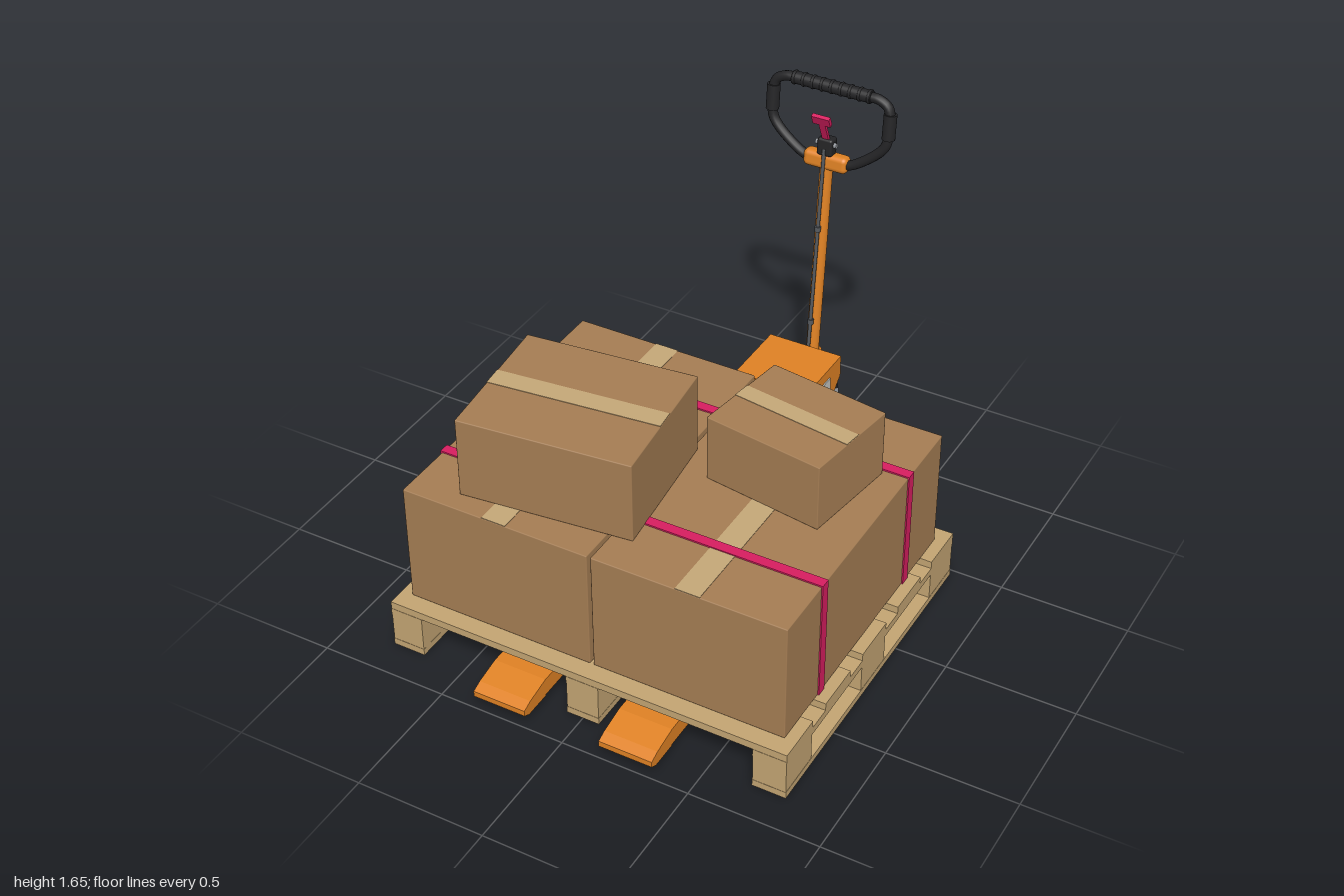
import * as THREE from 'three';
import { RoundedBoxGeometry } from 'three/addons/geometries/RoundedBoxGeometry.js';

const material = (name, color) => {
  const m = new THREE.MeshStandardMaterial({ color });
  m.name = name;
  return m;
};

export function createModel() {
  const orange = material('orange paint', 0xe08224);
  const black = material('black rubber', 0x242426);
  const steel = material('steel', 0x92969c);
  const darkSteel = material('dark steel', 0x55585c);
  const wood = material('pallet wood', 0xc4a573);
  const card = material('cardboard', 0xa67e54);
  const tape = material('packing tape', 0xc6a878);
  const pink = material('pink strap', 0xd81e60);
  const pale = material('label', 0xc8c8c4);

  const model = new THREE.Group();
  model.name = 'loadedPalletTruck';
  const group = (name, parent = model) => {
    const g = new THREE.Group();
    g.name = name;
    parent.add(g);
    return g;
  };
  const add = (parent, name, geo, mat, x = 0, y = 0, z = 0) => {
    const m = new THREE.Mesh(geo, mat);
    m.name = name;
    m.position.set(x, y, z);
    parent.add(m);
    return m;
  };
  // Box given by its min and max on each axis
  const span = (p, name, mat, x0, x1, y0, y1, z0, z1) =>
    add(p, name, new THREE.BoxGeometry(x1 - x0, y1 - y0, z1 - z0), mat, (x0 + x1) / 2, (y0 + y1) / 2, (z0 + z1) / 2);
  // Side profile of [z, y] points, extruded from x0 to x1
  const profile = (p, name, mat, pts, x0, x1) => {
    const shape = new THREE.Shape(pts.map(([z, y]) => new THREE.Vector2(z, y)));
    const geo = new THREE.ExtrudeGeometry(shape, { depth: x1 - x0, bevelEnabled: false });
    geo.rotateY(-Math.PI / 2);
    return add(p, name, geo, mat, x1, 0, 0);
  };
  const cyl = (p, name, mat, r, h, x, y, z, axis = 'y', seg = 24, r2 = r) => {
    const geo = new THREE.CylinderGeometry(r, r2, h, seg);
    if (axis === 'x') geo.rotateZ(Math.PI / 2);
    if (axis === 'z') geo.rotateX(Math.PI / 2);
    return add(p, name, geo, mat, x, y, z);
  };
  // Round bar through a few points
  const tube = (p, name, mat, pts, r, seg = 8) =>
    add(p, name, new THREE.TubeGeometry(
      new THREE.CatmullRomCurve3(pts.map(a => new THREE.Vector3(...a))), seg, r, 12), mat);

  // Pallet
  const pallet = group('pallet');
  for (let i = 0; i < 5; i++) {
    const z = -0.475 + i * 0.286;
    span(pallet, 'deckBoard', wood, -0.8, 0.8, 0.168, 0.198, z, z + 0.19);
  }
  for (const x of [-0.735, 0, 0.735]) {
    span(pallet, 'stringerBoard', wood, x - 0.065, x + 0.065, 0.138, 0.168, -0.475, 0.86);
    span(pallet, 'bottomBoard', wood, x - 0.065, x + 0.065, 0, 0.027, -0.475, 0.86);
    for (const z of [-0.38, 0.193, 0.765])
      span(pallet, 'block', wood, x - 0.064, x + 0.064, 0.027, 0.138, z - 0.094, z + 0.094);
  }

  // Cartons with tape across the top
  const cargo = group('cargo');
  const carton = (name, w, h, d, x, y, z, turn, tapeW, tapeD) => {
    const g = group(name, cargo);
    g.position.set(x, y, z);
    g.rotation.y = turn;
    add(g, 'carton', new RoundedBoxGeometry(w, h, d, 1, 0.004), card, 0, h / 2, 0);
    add(g, 'topTape', new THREE.BoxGeometry(tapeW, 0.003, tapeD), tape, 0, h + 0.0005, 0);
  };
  for (const s of [-1, 1])
    carton('largeCarton', 0.748, 0.482, 1.2, s * 0.381, 0.198, 0.19, 0, 0.095, 1.198);
  carton('upperLeftCarton', 0.66, 0.32, 0.56, -0.268, 0.68, 0.402, 0.107, 0.658, 0.08);
  carton('upperRightCarton', 0.475, 0.265, 0.397, 0.4, 0.68, 0.056, -0.146, 0.473, 0.07);
  for (const z of [0.527, -0.141])
    span(cargo, 'strap', pink, -0.76, 0.76, 0.199, 0.686, z - 0.02, z + 0.02);

  // Forks: open channels with solid tips, load rollers and push rods
  for (const s of [-1, 1]) {
    const fork = group('fork');
    fork.position.x = s * 0.255;
    span(fork, 'forkTop', orange, -0.105, 0.105, 0.103, 0.115, -0.53, 0.86);
    for (const e of [-1, 1]) {
      span(fork, 'forkWall', orange, e * 0.099 - 0.006, e * 0.099 + 0.006, 0.045, 0.104, -0.53, 0.86);
      span(fork, 'rollerFrame', steel, e * 0.066 - 0.008, e * 0.066 + 0.008, 0.032, 0.058, 0.42, 0.85);
    }
    profile(fork, 'forkTip', orange,
      [[0.86, 0.04], [0.97, 0.04], [1, 0.055], [1, 0.078], [0.96, 0.094], [0.86, 0.115]], -0.105, 0.105);
    cyl(fork, 'entryRoller', steel, 0.014, 0.07, 0, 0.038, 0.948, 'x', 16);
    cyl(fork, 'loadRoller', steel, 0.041, 0.09, 0, 0.045, 0.76, 'x');
    cyl(fork, 'rollerAxle', steel, 0.014, 0.16, 0, 0.048, 0.76, 'x', 12);
    span(fork, 'frameBar', steel, -0.07, 0.07, 0.035, 0.055, 0.42, 0.44);
    cyl(fork, 'pushRod', steel, 0.011, 0.94, 0, 0.066, -0.04, 'z', 12);
    span(fork, 'rodGuide', darkSteel, -0.093, 0.093, 0.06, 0.075, 0.3, 0.32);
    span(fork, 'forkHeel', orange, -0.105, 0.105, 0.1, 0.172, -0.535, -0.478);
  }

  // Chassis: back plate, side flanges and hood
  const chassis = group('chassis');
  const plate = new THREE.Shape([[-0.36, 0.1], [0.36, 0.1], [0.36, 0.21], [0.15, 0.5], [0.15, 0.57],
    [-0.15, 0.57], [-0.15, 0.5], [-0.36, 0.21]].map(a => new THREE.Vector2(...a)));
  add(chassis, 'backPlate', new THREE.ExtrudeGeometry(plate, { depth: 0.02, bevelEnabled: false }), orange, 0, 0, -0.545);
  for (const s of [-1, 1]) {
    const x = s * 0.354;
    profile(chassis, 'sideFlange', orange,
      [[-0.475, 0.04], [-0.475, 0.15], [-0.525, 0.19], [-0.55, 0.235], [-0.61, 0.215], [-0.61, 0.085], [-0.55, 0.04]],
      x - 0.007, x + 0.007);
    profile(chassis, 'hoodSide', orange,
      [[-0.525, 0.57], [-0.525, 0.23], [-0.555, 0.23], [-0.81, 0.48], [-0.81, 0.57]],
      s * 0.146 - 0.006, s * 0.146 + 0.006);
    span(chassis, 'sideLabel', s > 0 ? pale : pink, s * 0.154 - 0.003, s * 0.154 + 0.003,
      s > 0 ? 0.46 : 0.5, 0.53, s > 0 ? -0.72 : -0.75, -0.6);
  }
  span(chassis, 'hoodTop', orange, -0.152, 0.152, 0.56, 0.573, -0.815, -0.525);
  span(chassis, 'hoodLip', orange, -0.152, 0.152, 0.48, 0.573, -0.815, -0.803);
  cyl(chassis, 'torsionShaft', steel, 0.024, 0.32, 0, 0.076, -0.5, 'x');

  // Hydraulic pump and steering head
  const pump = group('pump');
  cyl(pump, 'pumpBody', black, 0.075, 0.14, 0, 0.32, -0.71);
  cyl(pump, 'ram', steel, 0.03, 0.18, 0, 0.47, -0.71);
  add(pump, 'pumpBase', new RoundedBoxGeometry(0.15, 0.08, 0.26, 2, 0.015), black, 0, 0.305, -0.84);
  add(pump, 'frontHousing', new RoundedBoxGeometry(0.14, 0.1, 0.14, 2, 0.015), black, 0, 0.325, -0.69);
  cyl(pump, 'turntable', black, 0.08, 0.03, 0, 0.25, -0.715);
  cyl(pump, 'steeringColumn', darkSteel, 0.035, 0.14, 0, 0.18, -0.715);
  for (const s of [-1, 1]) {
    profile(pump, 'pivotBracket', black,
      [[-0.8, 0.32], [-0.825, 0.41], [-0.85, 0.435], [-0.88, 0.435], [-0.9, 0.4], [-0.92, 0.32]],
      s * 0.06 - 0.014, s * 0.06 + 0.014);
    tube(pump, 'linkArm', steel, [[s * 0.085, 0.28, -0.79], [s * 0.085, 0.33, -0.82], [s * 0.085, 0.38, -0.87]], 0.012);
  }
  cyl(pump, 'pivotPin', steel, 0.018, 0.18, 0, 0.4, -0.866, 'x', 16);
  cyl(pump, 'plunger', steel, 0.017, 0.12, 0, 0.38, -0.93, 'y', 16);
  for (let i = 0; i < 4; i++) {
    const coil = add(pump, 'springCoil', new THREE.TorusGeometry(0.023, 0.005, 6, 16), steel, 0, 0.355 + i * 0.022, -0.93);
    coil.rotation.x = Math.PI / 2;
  }
  cyl(pump, 'plungerCap', steel, 0.026, 0.012, 0, 0.442, -0.93, 'y', 16);
  tube(pump, 'releasePedal', steel, [[0.06, 0.31, -0.9], [0.11, 0.33, -0.87], [0.11, 0.38, -0.87]], 0.009);

  // Steering wheels
  const wheels = group('steeringWheels');
  const treadProfile = [[0.07, -0.033], [0.1, -0.035], [0.114, -0.026], [0.119, -0.01], [0.119, 0.01],
    [0.114, 0.026], [0.1, 0.035], [0.07, 0.033]].map(a => new THREE.Vector2(...a));
  for (const s of [-1, 1]) {
    const wheel = group('wheel', wheels);
    wheel.position.set(s * 0.106, 0.121, -0.716);
    const tyre = add(wheel, 'tyre', new THREE.LatheGeometry(treadProfile, 36), black);
    tyre.rotation.z = Math.PI / 2;
    cyl(wheel, 'rim', steel, 0.072, 0.056, 0, 0, 0, 'x', 32);
    cyl(wheel, 'hub', steel, 0.03, 0.076, 0, 0, 0, 'x');
    for (let i = 0; i < 6; i++) {
      const a = i * Math.PI / 3;
      cyl(wheel, 'rimHole', black, 0.012, 0.058, 0, 0.051 * Math.cos(a), 0.051 * Math.sin(a), 'x', 12);
    }
  }
  cyl(wheels, 'axle', steel, 0.018, 0.33, 0, 0.121, -0.716, 'x', 16);

  // Tiller, built upright and then leaned back
  const tiller = group('tiller');
  tiller.position.set(0, 0.42, -0.866);
  tiller.rotation.x = -0.088;
  cyl(tiller, 'tillerSocket', orange, 0.036, 0.14, 0, 0.03, 0, 'y', 24, 0.042);
  cyl(tiller, 'tillerShaft', orange, 0.025, 0.9, 0, 0.45, 0);
  add(tiller, 'crosshead', new RoundedBoxGeometry(0.18, 0.066, 0.056, 3, 0.02), orange, 0, 0.912, 0);
  const half = [[0.075, 0.908], [0.115, 0.925], [0.2, 0.99], [0.23, 1.03], [0.238, 1.07],
    [0.238, 1.15], [0.225, 1.185], [0.19, 1.204], [0.15, 1.207]];
  const loop = [...half, ...half.map(([x, y]) => [-x, y]).reverse()].map(([x, y]) => [x, y, 0]);
  tube(tiller, 'handleLoop', black, loop, 0.019, 96);
  cyl(tiller, 'topGrip', black, 0.024, 0.32, 0, 1.207, 0, 'x');
  for (let i = 0; i < 9; i++) {
    const ring = add(tiller, 'gripRib', new THREE.TorusGeometry(0.022, 0.006, 8, 20), black, -0.152 + i * 0.038, 1.207, 0);
    ring.rotation.y = Math.PI / 2;
  }
  for (const s of [-1, 1]) cyl(tiller, 'sideGrip', black, 0.025, 0.1, s * 0.238, 1.11, 0);

  // Release lever with its control rod
  add(tiller, 'leverMount', new RoundedBoxGeometry(0.062, 0.07, 0.05, 2, 0.01), black, 0, 0.975, 0.01);
  const lever = group('releaseLever', tiller);
  lever.position.set(0, 1.0, 0.018);
  lever.rotation.x = 0.5;
  span(lever, 'leverStem', pink, -0.013, 0.013, 0, 0.11, -0.006, 0.006);
  span(lever, 'leverPaddle', pink, -0.036, 0.036, 0.095, 0.135, -0.008, 0.008);
  cyl(tiller, 'leverPin', steel, 0.01, 0.085, 0, 0.985, 0.015, 'x', 12);
  tube(tiller, 'controlRod', darkSteel, [[0, 0.97, 0.032], [0, 0.5, 0.036], [0, 0.06, 0.04]], 0.007);
  for (const y of [0.64, 0.24]) cyl(tiller, 'rodCollar', darkSteel, 0.012, 0.02, 0, y, 0.036, 'y', 12);

  return model;
}
